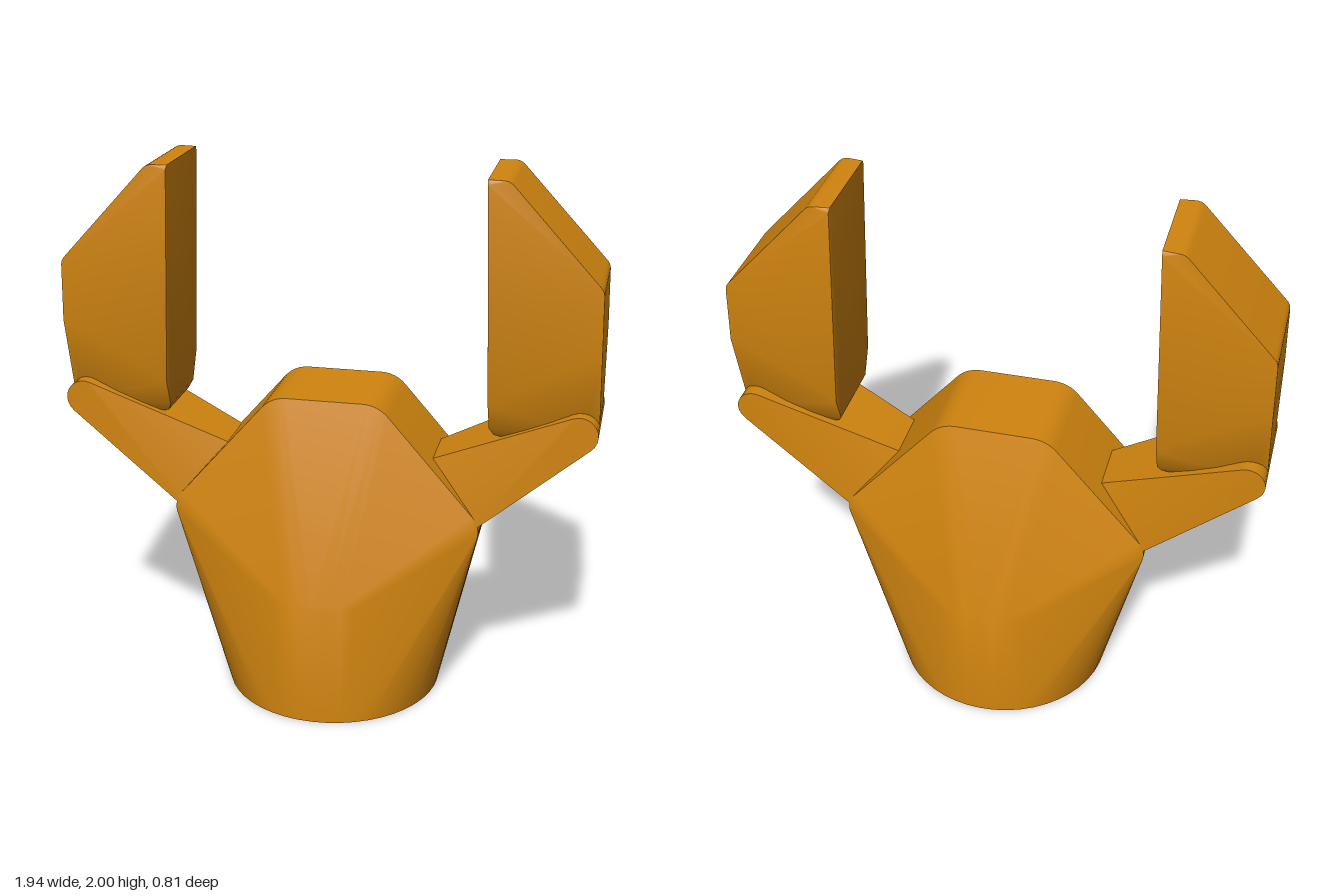
import * as THREE from 'three';
import { ConvexGeometry } from 'three/addons/geometries/ConvexGeometry.js';
import { toCreasedNormals } from 'three/addons/utils/BufferGeometryUtils.js';

const material = new THREE.MeshStandardMaterial({ color: 0xd0840f });

// Points of a slab corner: [x, y, half depth], slightly softened across the depth
function slab(corners, soft = 0.012) {
  const points = [];
  for (const [x, y, depth] of corners) {
    for (const s of [-1, 1]) {
      points.push(new THREE.Vector3(x, y, s * (depth - soft)));
      // pulled toward the inside of the slab on the face itself
      points.push(new THREE.Vector3(x, y, s * depth));
    }
  }
  return points;
}

// Rounded corner: points on an arc in the xy plane, angles in degrees
function arc(cx, cy, r, from, to, depth, steps = 6) {
  return Array.from({ length: steps + 1 }, (_, i) => {
    const a = THREE.MathUtils.degToRad(from + ((to - from) * i) / steps);
    return [cx + r * Math.cos(a), cy + r * Math.sin(a), depth];
  });
}

function hull(name, points, crease = 0.6) {
  const mesh = new THREE.Mesh(toCreasedNormals(new ConvexGeometry(points), crease), material);
  mesh.name = name;
  return mesh;
}

const mirrored = (points, side) => points.map((p) => new THREE.Vector3(p.x * side, p.y, p.z));

export function createModel() {
  const group = new THREE.Group();
  group.name = 'clawedBody';

  // Body: a round foot blended into a shouldered slab
  const foot = [];
  for (let i = 0; i < 48; i++) {
    const a = (i / 48) * Math.PI * 2;
    for (const y of [0, 0.47]) foot.push(new THREE.Vector3(0.405 * Math.cos(a), y, 0.405 * Math.sin(a)));
  }
  const shoulders = slab([
    ...arc(0.14, 1.06, 0.12, 90, 41, 0.18),
    ...arc(0.475, 0.72, 0.09, 41, -13, 0.18),
  ]);
  group.add(hull('body', [...foot, ...shoulders, ...mirrored(shoulders, -1)], 0.5));

  // Arm: rounded outer end, narrowing along its top into the body
  const arm = slab([
    ...arc(0.903, 1.123, 0.067, 114, -50, 0.183, 10),
    [0.5, 0.69, 0.183],
    [0.3, 0.925, 0.085],
  ]);

  // Claw: upright blade, bevelled outside at the top and tapered at the base
  const claw = slab([
    [0.555, 2.0, 0.172], [0.557, 1.985, 0.183],
    ...arc(0.61, 1.955, 0.045, 90, 47, 0.178, 4),
    ...arc(0.915, 1.625, 0.045, 47, 0, 0.183, 4),
    [0.965, 1.42, 0.183], [0.583, 1.21, 0.183], [0.62, 1.22, 0.183],
    [0.968, 1.15, 0.11], [0.92, 1.1, 0.11],
    [0.63, 1.07, 0.11], [0.6, 1.08, 0.12], [0.585, 1.11, 0.14],
  ]);

  for (const [label, side] of [['left', 1], ['right', -1]]) {
    group.add(hull(label + 'Arm', mirrored(arm, side)));
    group.add(hull(label + 'Claw', mirrored(claw, side)));
  }
  return group;
}
